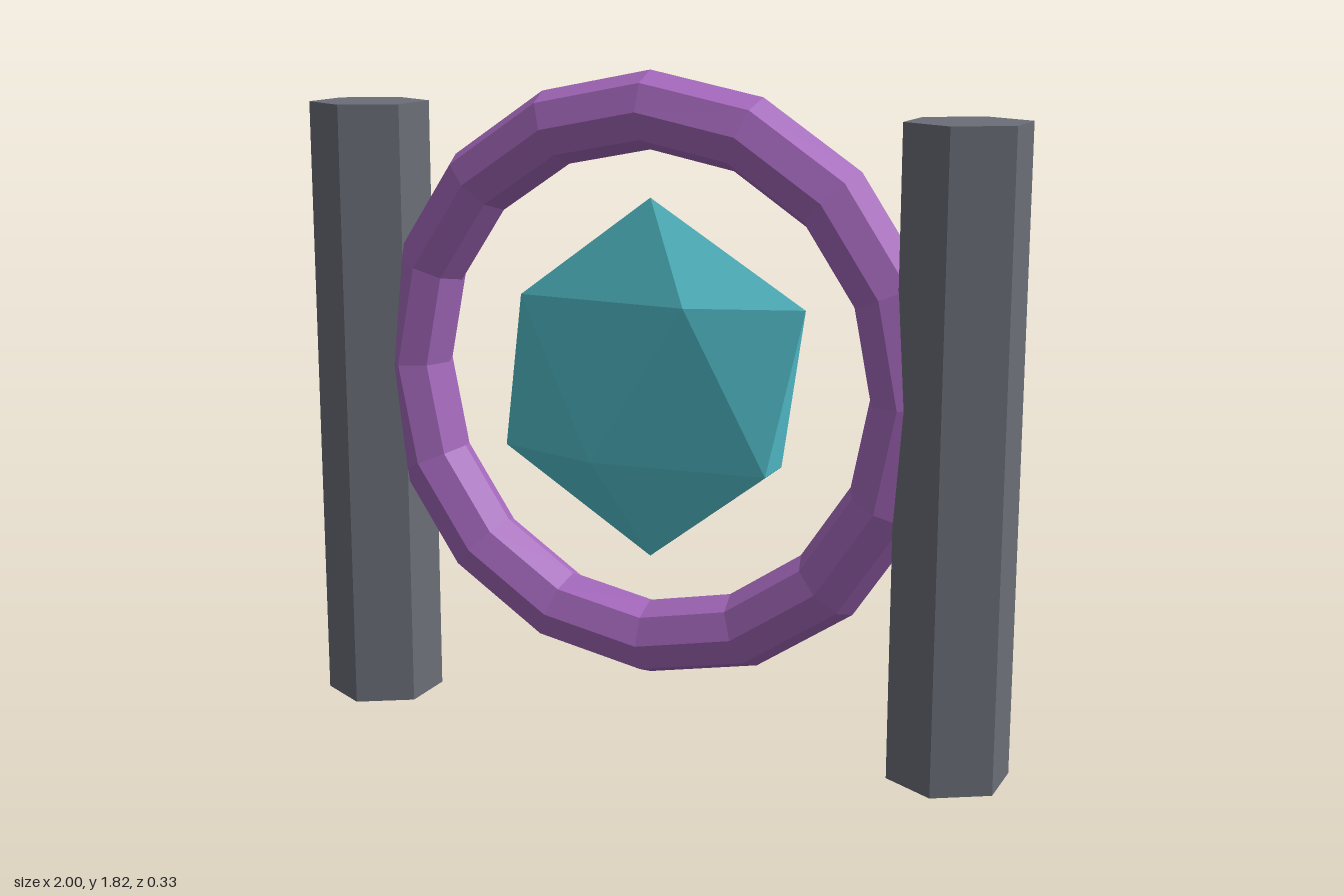
import * as THREE from 'three';

const CENTRE_Y = 0.993;

function addPart(parent, name, geometry, color) {
  const material = new THREE.MeshStandardMaterial({ color, flatShading: true });
  const mesh = new THREE.Mesh(geometry, material);
  mesh.name = name;
  parent.add(mesh);
  return mesh;
}

export function createModel() {
  const model = new THREE.Group();
  model.name = 'portalGate';

  // Hexagonal pillars, corners pointing to front and back
  const height = 1.715;
  for (const [name, side] of [['leftPillar', 1], ['rightPillar', -1]]) {
    const pillar = addPart(model, name, new THREE.CylinderGeometry(0.165, 0.165, height, 6), 0x6c6e78);
    pillar.position.set(side * 0.857, height / 2, 0);
  }

  // Faceted upright ring held between the pillars
  const ring = addPart(model, 'ring', new THREE.TorusGeometry(0.724, 0.104, 8, 16), 0xa569bd);
  ring.position.y = CENTRE_Y;

  // Floating crystal: icosahedron with one tip up, flattened front to back
  const crystalShape = new THREE.IcosahedronGeometry(0.493, 0);
  crystalShape.rotateZ(-Math.atan(2 / (1 + Math.sqrt(5))));
  crystalShape.scale(1, 1, 0.24);
  const crystal = addPart(model, 'crystal', crystalShape, 0x55c5d2);
  crystal.position.y = CENTRE_Y;

  return model;
}
